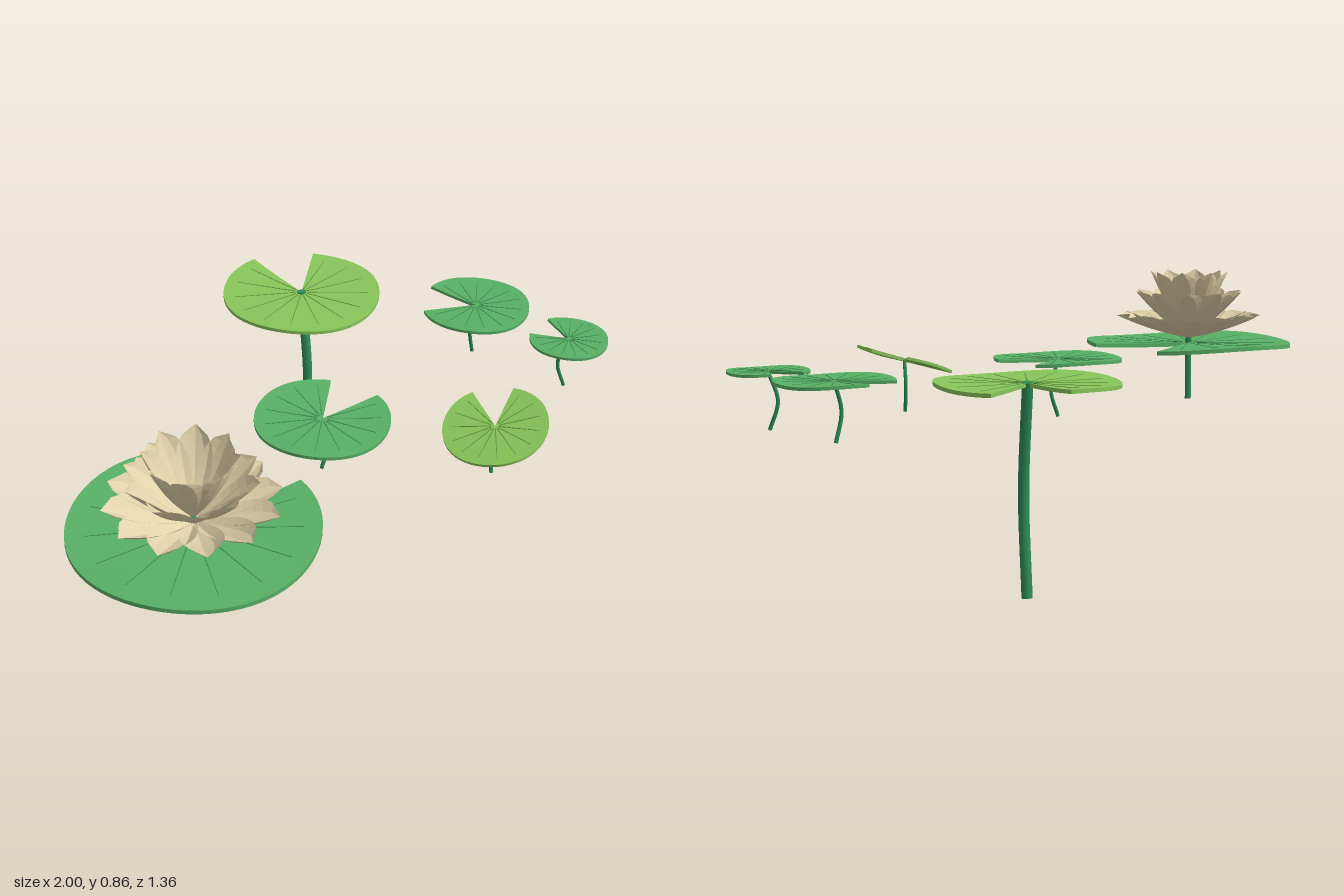
import * as THREE from 'three';

const mat = (color, extra = {}) => new THREE.MeshStandardMaterial({ color, ...extra });
const green = mat(0x58b066);
const lime = mat(0x88c65a);
const greenVein = mat(0x3f8f50);
const limeVein = mat(0x649c42);
const stemGreen = mat(0x2e8b57, { side: THREE.DoubleSide });
const cream = mat(0xe2d2aa, { side: THREE.DoubleSide, flatShading: true });
const gold = mat(0xe0a030);

function add(parent, name, geometry, material) {
  const mesh = new THREE.Mesh(geometry, material);
  mesh.name = name;
  parent.add(mesh);
  return mesh;
}

// Bends a unit box by a rule (u, v, w in 0..1 -> position)
function mappedBox(nu, nw, rule) {
  const g = new THREE.BoxGeometry(1, 1, 1, nu, 1, nw);
  const p = g.attributes.position;
  for (let i = 0; i < p.count; i++) {
    p.setXYZ(i, ...rule(p.getX(i) + 0.5, p.getY(i) + 0.5, p.getZ(i) + 0.5));
  }
  g.computeVertexNormals();
  return g;
}

// Notched round leaf: a gently waving disc running from angle a0 to a1 (degrees)
function lilyPad({ r, from, to, light }) {
  const pad = new THREE.Group();
  pad.name = 'lilyPad';
  const a0 = THREE.MathUtils.degToRad(from);
  const a1 = THREE.MathUtils.degToRad(to);
  const thick = 0.006 + 0.02 * r;
  const place = (q, y, a) => [
    q * r * Math.cos(a),
    y + r * q * q * (0.02 + 0.018 * Math.sin(3 * a)),
    q * r * Math.sin(a),
  ];
  add(pad, 'leaf', mappedBox(8, 56, (u, v, w) =>
    place(u, (v - 0.5) * thick, a0 + (a1 - a0) * w)), light ? lime : green);

  // Fine raised veins
  const count = 13;
  for (let i = 0; i < count; i++) {
    const a = a0 + (a1 - a0) * (i + 0.5) / count;
    add(pad, 'vein', mappedBox(8, 1, (u, v, w) => {
      const q = 0.08 + 0.77 * u;
      const half = 0.0018 * (1 - 0.6 * u) / (q * r);
      return place(q, thick / 2 - 0.001 + v * 0.0022, a + (w * 2 - 1) * half);
    }), light ? limeVein : greenVein);
  }
  return pad;
}

// Curved stem through the given points, closed at the foot
function stem(parent, points, radius) {
  const path = new THREE.CatmullRomCurve3(points.map(p => new THREE.Vector3(...p)));
  add(parent, 'stem', new THREE.TubeGeometry(path, 20, radius, 10), stemGreen);
  for (const t of [0, 1]) {
    const cap = add(parent, 'stemEnd', new THREE.CircleGeometry(radius, 10), stemGreen);
    cap.position.copy(path.getPoint(t));
    cap.lookAt(cap.position.clone().add(path.getTangent(t)));
  }
}

// Cupped petal pointing along +z, rising from base to tip
function petalGeometry({ r0, y0, r1, y1, width, cup, sag }) {
  const g = new THREE.PlaneGeometry(2, 1, 4, 8);
  const p = g.attributes.position;
  for (let i = 0; i < p.count; i++) {
    const s = p.getX(i);
    const t = p.getY(i) + 0.5;
    const half = width * (t < 0.65
      ? 0.22 + 0.78 * Math.sin((t / 0.65) * Math.PI / 2)
      : Math.pow(Math.max(0, 1 - ((t - 0.65) / 0.35) ** 2), 0.65));
    const bend = sag * Math.sin(Math.PI * t);
    const lift = cup * s * s * half;
    const run = r1 - r0, rise = y1 - y0, len = Math.hypot(run, rise);
    p.setXYZ(i,
      s * half,
      y0 + rise * t - bend * run / len + lift * run / len,
      r0 + run * t + bend * rise / len - lift * rise / len);
  }
  g.computeVertexNormals();
  return g;
}

function flower() {
  const bloom = new THREE.Group();
  bloom.name = 'flower';
  const tiers = [
    { n: 12, r0: 0.012, y0: 0.635, r1: 0.25, y1: 0.712, width: 0.06, cup: 0.5, sag: 0.008 },
    { n: 10, r0: 0.012, y0: 0.645, r1: 0.19, y1: 0.797, width: 0.055, cup: 0.5, sag: 0.010 },
    { n: 8, r0: 0.012, y0: 0.66, r1: 0.135, y1: 0.865, width: 0.05, cup: 0.45, sag: 0.010 },
  ];
  for (const tier of tiers) {
    const geometry = petalGeometry(tier);
    for (let i = 0; i < tier.n; i++) {
      add(bloom, 'petal', geometry, cream).rotation.y = i * 2 * Math.PI / tier.n;
    }
  }
  // Golden heart
  const heart = add(bloom, 'flowerCentre', new THREE.SphereGeometry(0.038, 20, 12), gold);
  heart.scale.y = 0.6;
  heart.position.y = 0.71;
  return bloom;
}

export function createModel() {
  const model = new THREE.Group();
  model.name = 'waterLilies';

  // Each leaf: centre, radius, angles of its blade, tilt, stem bow and thickness
  const pads = [
    { x: -0.647, y: 0.61, z: 0.305, r: 0.353, from: 8, to: 322, bow: [0, 0], thick: 0.011 },
    { x: -0.03, y: 0.602, z: 0.155, r: 0.206, from: 7.5, to: 320, bow: [0.024, 0.004], thick: 0.006 },
    { x: 0.408, y: 0.61, z: -0.423, r: 0.262, from: -39, to: 273.5, light: true },
    { x: 0.8, y: 0.597, z: 0.01, r: 0.178, from: -100, to: 210, bow: [-0.02, 0.002], thick: 0.006 },
    { x: 0.872, y: 0.597, z: 0.353, r: 0.126, from: -73, to: 235, bow: [-0.022, -0.016], thick: 0.006 },
    { x: 0.342, y: 0.59, z: 0.517, r: 0.16, from: -21.5, to: 292.5, light: true, tilt: 0.29,
      bow: [0.006, -0.02], thick: 0.006 },
  ];
  for (const spec of pads) {
    const plant = new THREE.Group();
    plant.name = 'lilyPlant';
    const pad = lilyPad(spec);
    pad.position.set(spec.x, spec.y, spec.z);
    pad.rotation.z = spec.tilt || 0;
    plant.add(pad);
    if (spec.bow) {
      const [bx, bz] = spec.bow;
      stem(plant, [
        [spec.x, 0.42, spec.z],
        [spec.x + bx, 0.51, spec.z + bz],
        [spec.x, spec.y, spec.z],
      ], spec.thick);
    }
    model.add(plant);
  }

  // Tall stem reaching the ground, and the flower stalk
  stem(model, [[0.408, 0.002, -0.414], [0.398, 0.3, -0.379], [0.408, 0.618, -0.423]], 0.016);
  stem(model, [[-0.647, 0.6, 0.305], [-0.647, 0.645, 0.305]], 0.011);

  const bloom = flower();
  bloom.position.set(-0.647, 0, 0.305);
  model.add(bloom);
  return model;
}
